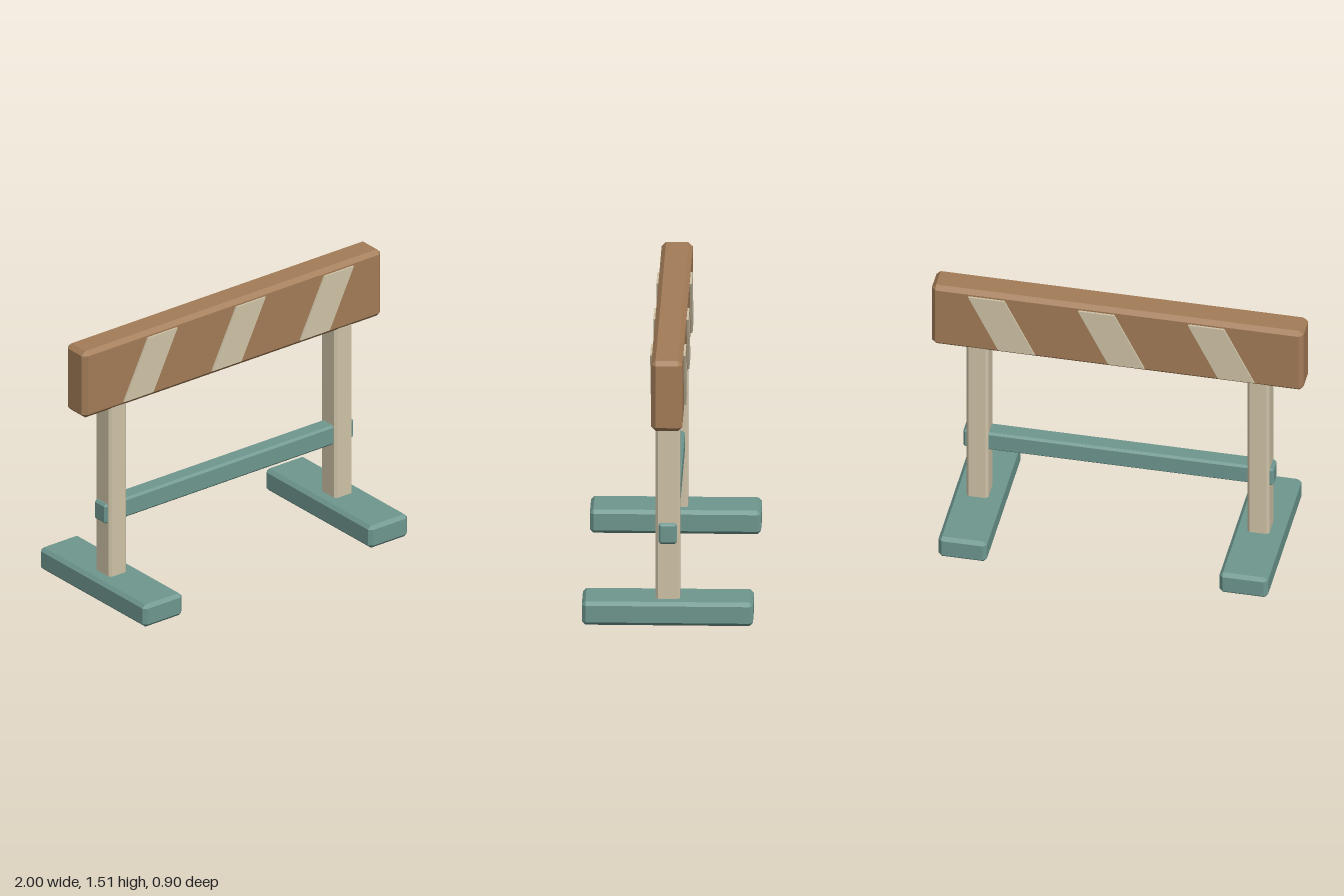
import * as THREE from 'three';
import { ConvexGeometry } from 'three/addons/geometries/ConvexGeometry.js';

const paint = (color) => new THREE.MeshStandardMaterial({ color, flatShading: true });

// Box with every edge cut by one flat chamfer; each corner becomes a triangle
function chamferedBox(w, h, d, c) {
  const points = [];
  for (const sx of [-1, 1]) for (const sy of [-1, 1]) for (const sz of [-1, 1]) {
    for (let axis = 0; axis < 3; axis++) {
      const half = [w / 2 - c, h / 2 - c, d / 2 - c];
      half[axis] += c;
      points.push(new THREE.Vector3(sx * half[0], sy * half[1], sz * half[2]));
    }
  }
  return new ConvexGeometry(points);
}

export function createModel() {
  const model = new THREE.Group();
  model.name = 'barrier';
  const wood = paint(0xa37c57);
  const cream = paint(0xcfc3a7);
  const teal = paint(0x6e978f);

  const add = (name, geometry, material, x, y, z) => {
    const mesh = new THREE.Mesh(geometry, material);
    mesh.name = name;
    mesh.position.set(x, y, z);
    model.add(mesh);
  };

  // Top board and lower cross rail
  add('board', chamferedBox(2, 0.39, 0.164, 0.023), wood, 0, 1.313, 0);
  add('crossRail', chamferedBox(1.67, 0.114, 0.098, 0.012), teal, 0, 0.495, 0);

  // Posts run from inside the feet up into the board
  const post = chamferedBox(0.118, 1.1, 0.13, 0.013);
  const foot = chamferedBox(0.26, 0.13, 0.902, 0.019);
  for (const [side, x] of [['left', 0.756], ['right', -0.756]]) {
    add(side + 'Post', post, cream, x, 0.65, 0);
    add(side + 'Foot', foot, teal, x, 0.065, 0);
  }

  // Slanted stripes, raised slightly on both faces of the board
  const outline = new THREE.Shape([
    new THREE.Vector2(-0.178, -0.164),
    new THREE.Vector2(0.016, -0.164),
    new THREE.Vector2(0.178, 0.164),
    new THREE.Vector2(-0.016, 0.164),
  ]);
  const depth = 0.022;
  const stripe = new THREE.ExtrudeGeometry(outline, { depth, bevelEnabled: false });
  stripe.translate(0, 0, -depth / 2);
  for (let i = -1; i <= 1; i++) {
    for (const [face, z] of [['front', 0.082], ['back', -0.082]]) {
      add(face + 'Stripe', stripe, cream, 0.029 + i * 0.591, 1.312, z);
    }
  }
  return model;
}
